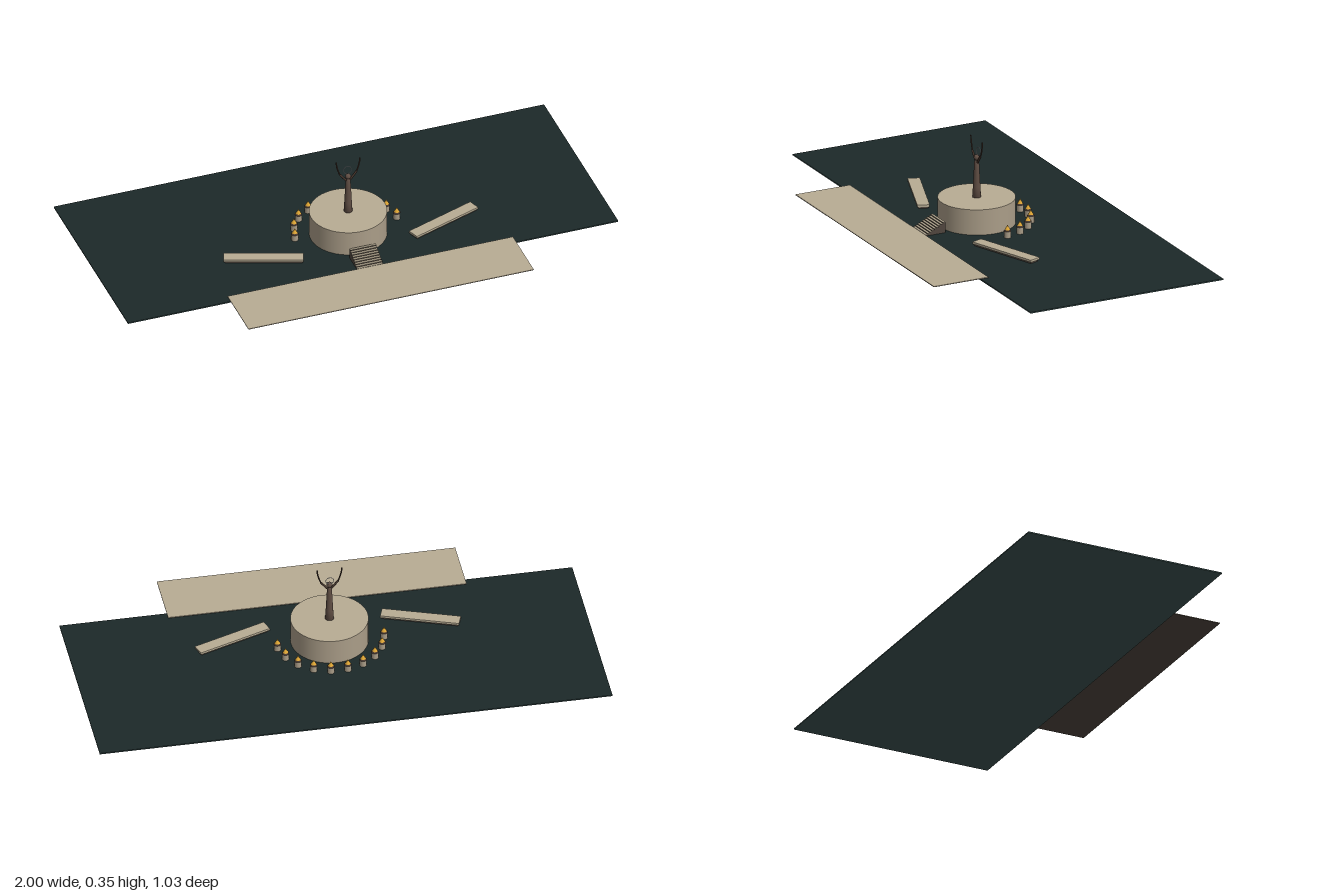
import * as THREE from 'three';

const mat = (name, color) => {
  const m = new THREE.MeshStandardMaterial({ color });
  m.name = name;
  return m;
};

export function createModel() {
  const paving = mat('pale paving', 0xb8ac94);
  const stone = mat('stone', 0xaa9d88);
  const darkStone = mat('dark stone', 0x50463e);
  const water = mat('dark surface', 0x1c2929);
  const slab = mat('slate slab', 0x3d5352);
  const bronze = mat('bronze', 0x5f4d43);
  const darkBronze = mat('dark bronze', 0x46362d);
  const gold = mat('gold', 0xdda535);
  const silver = mat('pale metal', 0xc4c6cc);

  const model = new THREE.Group();
  model.name = 'monument';
  const add = (parent, name, geometry, material, x = 0, y = 0, z = 0) => {
    const mesh = new THREE.Mesh(geometry, material);
    mesh.name = name;
    mesh.position.set(x, y, z);
    parent.add(mesh);
    return mesh;
  };
  const group = (name, x, y, z) => {
    const g = new THREE.Group();
    g.name = name;
    g.position.set(x, y, z);
    model.add(g);
    return g;
  };
  const box = (w, h, d) => new THREE.BoxGeometry(w, h, d);
  const cyl = (top, bottom, h, n) => new THREE.CylinderGeometry(top, bottom, h, n);

  // Ground slab with a dark top sheet, and the front plaza on a dark underlay
  add(model, 'groundSlab', box(2, 0.004, 0.83), slab, 0, 0.002, -0.102);
  add(model, 'groundSurface', box(2, 0.001, 0.83), water, 0, 0.0045, -0.102);
  add(model, 'plazaBase', box(1.164, 0.001, 0.234), darkStone, 0, 0.0065, 0.398);
  add(model, 'plaza', box(1.164, 0.002, 0.234), paving, 0, 0.008, 0.398);

  // Round podium: side wall and paler top
  const cz = 0.033;
  add(model, 'podium', cyl(0.15, 0.15, 0.103, 48), [stone, paving, stone], 0, 0.0565, cz);

  // Stairs: dark blocks with pale treads
  const stairs = group('stairs', 0, 0.005, 0);
  const steps = 9, run = 0.085 / steps;
  for (let i = 0; i < steps; i++) {
    const h = 0.043 * (i + 1) / steps;
    const z = 0.28 - run * (i + 0.5);
    add(stairs, 'stepBlock', box(0.106, h - 0.001, run), darkStone, 0, (h - 0.001) / 2, z);
    add(stairs, 'stepTread', box(0.106, 0.001, run), paving, 0, h - 0.0005, z);
  }

  // Angled benches on both sides: pale slab on a dark inset base
  for (const s of [-1, 1]) {
    const bench = group('bench', s * 0.367, 0, 0.095);
    bench.rotation.y = s * THREE.MathUtils.degToRad(20);
    add(bench, 'benchBase', box(0.296, 0.007, 0.038), darkStone, 0, 0.0085, 0);
    add(bench, 'benchSlab', box(0.306, 0.009, 0.048), paving, 0, 0.0165, 0);
  }

  // Arc of ten small shrines behind the podium
  const bodyGeo = cyl(0.0135, 0.0135, 0.027, 16);
  const roofGeo = cyl(0.0105, 0.0145, 0.005, 16);
  const spireGeo = new THREE.ConeGeometry(0.0108, 0.02, 16);
  for (let i = 0; i < 10; i++) {
    const a = THREE.MathUtils.degToRad(8 + i * 164 / 9);
    const shrine = group('shrine', 0.21 * Math.cos(a), 0, cz + 0.003 - 0.21 * Math.sin(a));
    add(shrine, 'shrineBody', bodyGeo, stone, 0, 0.0185, 0);
    add(shrine, 'shrineRoof', roofGeo, darkBronze, 0, 0.0345, 0);
    add(shrine, 'shrineSpire', spireGeo, gold, 0, 0.0465, 0);
  }

  // Statue: tapering robe, head, raised arms and a thin halo
  const statue = group('statue', 0, 0, cz);
  const robe = [[0, 0.106], [0.017, 0.106], [0.0145, 0.15], [0.011, 0.22], [0.0095, 0.25], [0.004, 0.26], [0, 0.261]];
  add(statue, 'robe', new THREE.LatheGeometry(robe.map(p => new THREE.Vector2(...p)), 16), bronze);
  add(statue, 'head', new THREE.SphereGeometry(0.0115, 16, 12), bronze, 0, 0.268, 0);
  const tube = (points, r) => new THREE.TubeGeometry(
    new THREE.CatmullRomCurve3(points.map(([x, y]) => new THREE.Vector3(x, y, 0))), 12, r, 8);
  for (const s of [-1, 1]) {
    add(statue, 'upperArm', tube([[0, 0.242], [s * 0.017, 0.262], [s * 0.035, 0.285]], 0.0042), darkBronze);
    add(statue, 'forearm', tube([[s * 0.034, 0.283], [s * 0.042, 0.306], [s * 0.047, 0.328], [s * 0.048, 0.345]], 0.0029), darkBronze);
  }
  const halo = add(statue, 'halo', new THREE.TorusGeometry(0.016, 0.0013, 6, 24), silver, 0, 0.292, -0.007);
  halo.rotation.x = -0.15;

  return model;
}
